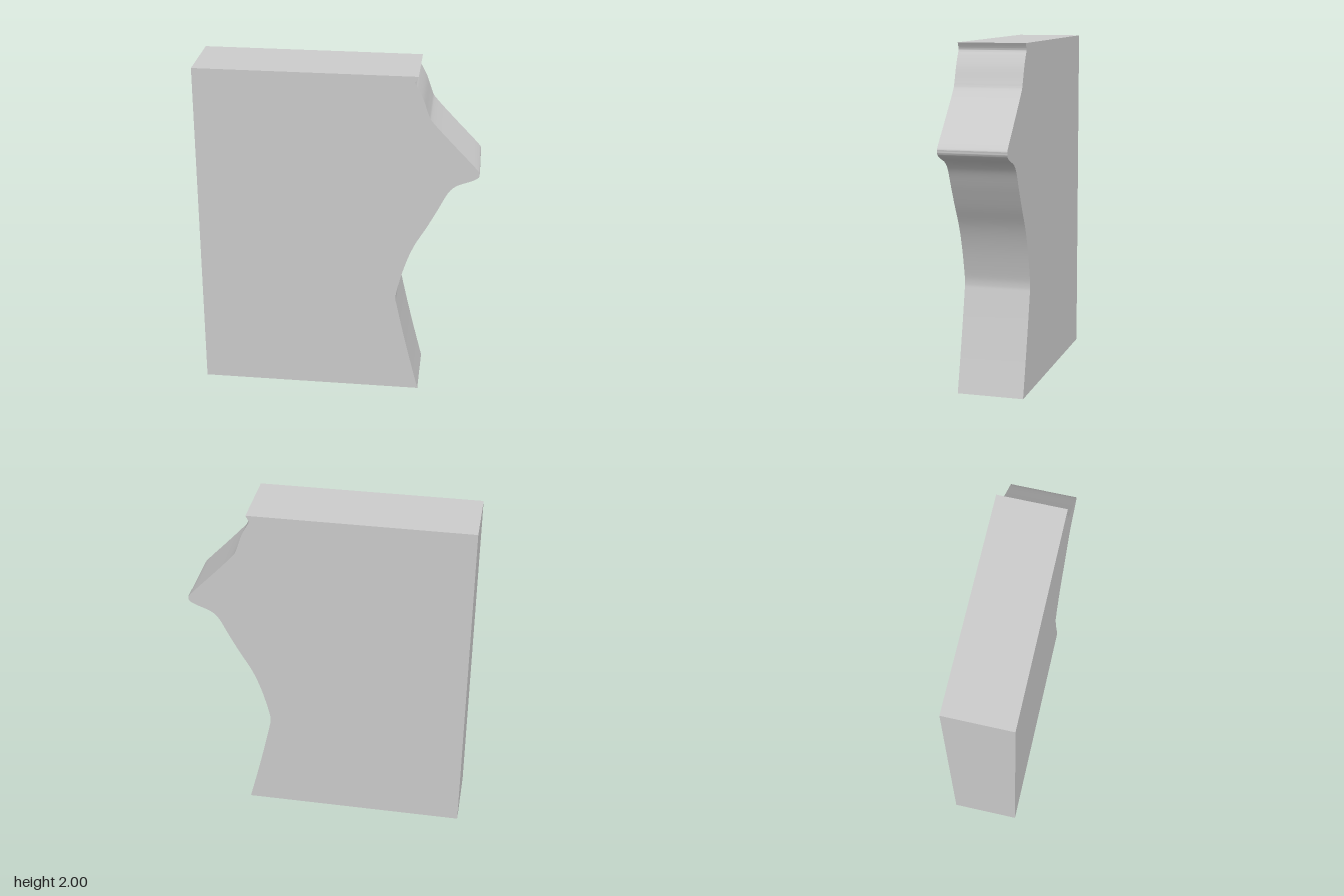
import * as THREE from 'three';
import { toCreasedNormals } from 'three/addons/utils/BufferGeometryUtils.js';

const DEPTH = 0.39;

// Curved right edge, from the bottom corner up to the top corner
const EDGE = [
  [0.495, 0], [0.45, 0.175], [0.405, 0.36], [0.36, 0.56], [0.35, 0.62], [0.36, 0.69],
  [0.4, 0.84], [0.45, 0.97], [0.52, 1.095], [0.58, 1.21], [0.633, 1.315], [0.68, 1.362],
  [0.76, 1.395], [0.797, 1.416], [0.805, 1.437], [0.79, 1.468], [0.65, 1.615],
  [0.535, 1.74], [0.51, 1.785], [0.48, 1.87], [0.45, 1.93], [0.434, 1.957],
  [0.436, 1.972], [0.45, 2],
];

export function createModel() {
  const group = new THREE.Group();
  group.name = 'profileBlock';

  // Slab outline: three straight sides and one smooth curved side
  const outline = new THREE.Shape();
  outline.moveTo(-0.81, 0);
  outline.lineTo(...EDGE[0]);
  outline.splineThru(EDGE.slice(1).map(([x, y]) => new THREE.Vector2(x, y)));
  outline.lineTo(-0.81, 2);
  outline.closePath();

  const solid = new THREE.ExtrudeGeometry(outline, {
    depth: DEPTH, bevelEnabled: false, curveSegments: 5,
  });
  solid.translate(0, 0, -DEPTH / 2);

  // Smooth along the curve, sharp at the corners
  const slab = new THREE.Mesh(
    toCreasedNormals(solid, 0.6),
    new THREE.MeshStandardMaterial({ color: 0xcccccc }),
  );
  slab.name = 'slab';
  group.add(slab);
  return group;
}
